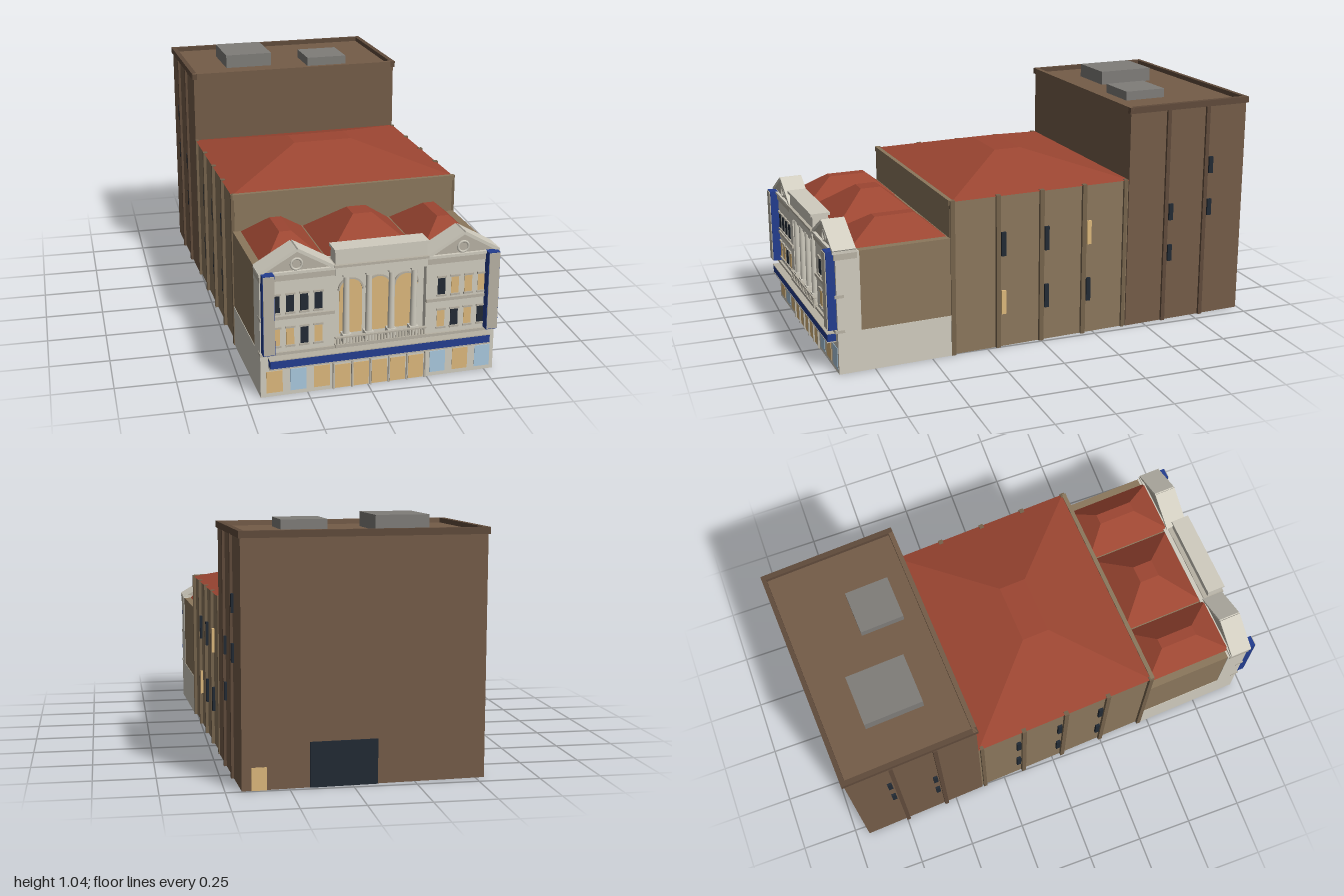
import * as THREE from 'three';

const mat = (color) => new THREE.MeshStandardMaterial({ color });
const M = {
  cream: mat(0xd0ccbf), trim: mat(0xb8b2a4), tan: mat(0x8b775c), tanDark: mat(0x75634c),
  brown: mat(0x745c48), brownDark: mat(0x604b3b), roof: mat(0x9c4632), grey: mat(0x7f7d79),
  blue: mat(0x233d8f), lit: mat(0xdcb87c), sky: mat(0xa9c8de), dark: mat(0x222a34),
};

export function createModel() {
  const root = new THREE.Group();
  root.name = 'theatre';

  const add = (name, geo, m) => {
    const mesh = new THREE.Mesh(geo, m);
    mesh.name = name;
    root.add(mesh);
    return mesh;
  };
  // Box given by its extents along x, y and z
  const box = (name, m, x0, x1, y0, y1, z0, z1) => {
    const mesh = add(name, new THREE.BoxGeometry(x1 - x0, y1 - y0, z1 - z0), m);
    mesh.position.set((x0 + x1) / 2, (y0 + y1) / 2, (z0 + z1) / 2);
    return mesh;
  };
  // Hipped roof: a box whose top is drawn in to a smaller rectangle
  const hip = (name, [x0, x1, z0, z1], [a0, a1, b0, b1], y0, y1) => {
    const geo = new THREE.BoxGeometry(1, 1, 1);
    const p = geo.attributes.position;
    for (let i = 0; i < p.count; i++) {
      const top = p.getY(i) > 0, right = p.getX(i) > 0, front = p.getZ(i) > 0;
      p.setXYZ(i,
        top ? (right ? a1 : a0) : (right ? x1 : x0),
        top ? y1 : y0,
        top ? (front ? b1 : b0) : (front ? z1 : z0));
    }
    geo.computeVertexNormals();
    return add(name, geo, M.roof);
  };

  // Stage house with recessed roof, rim and roof plant
  box('stageHouse', M.brown, -0.487, 0.487, 0, 0.975, -0.968, -0.39);
  for (const s of [-1, 1]) {
    box('stageParapetSide', M.brownDark, s * 0.483 - 0.011, s * 0.483 + 0.011, 0.968, 0.995, -0.976, -0.383);
  }
  box('stageParapetBack', M.brownDark, -0.494, 0.494, 0.968, 0.995, -0.976, -0.956);
  box('stageParapetFront', M.brown, -0.494, 0.494, 0.968, 0.995, -0.403, -0.383);
  box('roofPlantLarge', M.grey, -0.3, -0.08, 0.97, 1.036, -0.8, -0.545);
  box('roofPlantSmall', M.grey, 0.085, 0.275, 0.97, 1.015, -0.672, -0.482);
  box('loadingDoor', M.dark, -0.05, 0.22, 0, 0.18, -0.973, -0.965);
  box('stageDoor', M.lit, 0.39, 0.45, 0, 0.09, -0.973, -0.965);

  // Auditorium
  box('auditorium', M.tan, -0.48, 0.48, 0, 0.675, -0.39, 0.442);
  box('auditoriumParapet', M.tan, -0.486, 0.486, 0.66, 0.682, 0.428, 0.446);
  hip('auditoriumRoof', [-0.488, 0.488, -0.39, 0.432], [-0.13, 0.13, -0.03, 0.09], 0.675, 0.775);

  // Side pilasters and windows
  const audWindows = [[0.2, M.dark, M.lit], [0, M.dark, M.dark], [-0.2, M.lit, M.dark]];
  const stageWindows = [[-0.6, 0.47, 0.28], [-0.795, 0.665, 0.47]];
  for (const s of [-1, 1]) {
    const slab = (name, m, x, out, y0, y1, z, w) =>
      box(name, m, s * x - out, s * x + out, y0, y1, z - w / 2, z + w / 2);
    for (const z of [0.43, 0.225, 0.025, -0.175]) slab('auditoriumPilaster', M.tanDark, 0.483, 0.01, 0, 0.68, z, 0.02);
    for (const z of [-0.373]) slab('auditoriumPilaster', M.tanDark, 0.483, 0.008, 0, 0.68, z, 0.016);
    for (const z of [-0.575, -0.77]) slab('stagePilaster', M.brownDark, 0.489, 0.009, 0, 0.97, z, 0.018);
    for (const [z, up, low] of audWindows) {
      slab('auditoriumWindow', s > 0 ? up : M.dark, 0.483, 0.008, 0.41, 0.515, z, 0.02);
      slab('auditoriumWindow', s > 0 ? low : M.dark, 0.483, 0.008, 0.15, 0.255, z, 0.02);
    }
    for (const [z, ...ys] of stageWindows) {
      for (const y of ys) slab('stageWindow', M.dark, 0.489, 0.008, y, y + 0.075, z, 0.02);
    }
  }

  // Front house: pale base, brick sides, pale facade return
  box('frontBase', M.cream, -0.49, 0.49, 0, 0.18, 0.44, 0.93);
  box('frontHouse', M.tan, -0.488, 0.488, 0.18, 0.52, 0.44, 0.832);
  box('facadeCentre', M.cream, -0.2, 0.2, 0.18, 0.53, 0.83, 0.9);
  hip('centreRoof', [-0.19, 0.19, 0.45, 0.84], [-0.04, 0.04, 0.59, 0.68], 0.52, 0.64);

  // Side wings, mirrored
  const patterns = {
    '-1': [[M.dark, M.dark, M.dark, M.dark], [M.lit, M.dark, M.lit, M.lit]],
    '1': [[M.dark, M.lit, M.lit, M.lit], [M.lit, M.dark, M.lit, M.dark]],
  };
  for (const s of [-1, 1]) {
    const mbox = (name, m, a, b, ...rest) => box(name, m, Math.min(s * a, s * b), Math.max(s * a, s * b), ...rest);
    mbox('wing', M.cream, 0.19, 0.49, 0.18, 0.52, 0.83, 0.93);
    const r = [s * 0.325 - 0.13, s * 0.325 + 0.13, 0.445, 0.858];
    hip('wingRoof', r, [s * 0.333 - 0.024, s * 0.333 + 0.024, 0.55, 0.72], 0.52, 0.61);

    // Cornice and string courses
    mbox('wingCornice', M.trim, 0.19, 0.492, 0.492, 0.518, 0.84, 0.937);
    mbox('wingCorniceCap', M.cream, 0.188, 0.494, 0.518, 0.529, 0.84, 0.943);
    mbox('stringCourse', M.trim, 0.19, 0.491, 0.33, 0.343, 0.9, 0.938);

    // Pediment with raking cornices and a ring
    const tri = new THREE.Shape([[-0.148, 0], [0.148, 0], [0, 0.086]].map((q) => new THREE.Vector2(...q)));
    const gable = add('pediment', new THREE.ExtrudeGeometry(tri, { depth: 0.08, bevelEnabled: false }), M.trim);
    gable.position.set(s * 0.342, 0.527, 0.85);
    for (const k of [-1, 1]) {
      const rake = add('rakingCornice', new THREE.BoxGeometry(0.173, 0.013, 0.098), M.cream);
      rake.position.set(s * 0.342 + k * 0.075, 0.572, 0.893);
      rake.rotation.z = -k * Math.atan2(0.086, 0.148);
    }
    const ring = add('pedimentRing', new THREE.TorusGeometry(0.022, 0.005, 6, 24), M.cream);
    ring.position.set(s * 0.342, 0.554, 0.931);

    // Two rows of windows with sills and lintels
    patterns[s].forEach((row, j) => row.forEach((m, i) => {
      const x = s * (0.255 + i * 0.057), y = j ? 0.218 : 0.358;
      box('wingWindow', m, x - 0.016, x + 0.016, y, y + 0.072, 0.925, 0.932);
      box('windowSill', M.trim, x - 0.02, x + 0.02, y - 0.008, y, 0.925, 0.937);
      box('windowLintel', M.trim, x - 0.02, x + 0.02, y + 0.072, y + 0.08, 0.925, 0.937);
    }));

    // Vertical blade sign
    mbox('bladeSign', M.blue, 0.438, 0.486, 0.196, 0.53, 0.932, 0.968);
    mbox('bladeSignFace', M.trim, 0.44, 0.484, 0.2, 0.527, 0.965, 0.972);
  }

  // Arched windows in the centre bay
  const arch = new THREE.Shape();
  arch.moveTo(-0.047, 0).lineTo(0.047, 0).lineTo(0.047, 0.185);
  arch.absarc(0, 0.185, 0.047, 0, Math.PI, false);
  const rim = new THREE.Shape();
  rim.absarc(0, 0.185, 0.053, 0, Math.PI, false);
  rim.absarc(0, 0.185, 0.046, Math.PI, 0, true);
  for (const x of [-0.115, 0, 0.115]) {
    const ext = (name, shape, depth, m) => add(name, new THREE.ExtrudeGeometry(shape, { depth, bevelEnabled: false, curveSegments: 12 }), m)
      .position.set(x, 0.225, 0.897);
    ext('archedWindow', arch, 0.006, M.lit);
    ext('archMoulding', rim, 0.011, M.trim);
  }

  // Columns
  for (const x of [-0.14, -0.047, 0.047, 0.14]) {
    const shaft = add('column', new THREE.CylinderGeometry(0.0115, 0.0145, 0.25, 16), M.cream);
    shaft.position.set(x, 0.358, 0.925);
    box('columnBase', M.cream, x - 0.018, x + 0.018, 0.2, 0.236, 0.907, 0.943);
    box('columnCapital', M.cream, x - 0.017, x + 0.017, 0.48, 0.492, 0.908, 0.942);
  }

  // Entablature and attic parapet
  box('entablature', M.cream, -0.19, 0.19, 0.49, 0.528, 0.85, 0.943);
  box('entablatureCap', M.trim, -0.193, 0.193, 0.526, 0.536, 0.85, 0.95);
  box('atticParapet', M.cream, -0.188, 0.188, 0.535, 0.59, 0.87, 0.937);
  box('atticCap', M.cream, -0.193, 0.193, 0.588, 0.6, 0.862, 0.945);

  // Balcony balustrade
  box('balconyFloor', M.trim, -0.19, 0.19, 0.185, 0.198, 0.89, 0.948);
  box('balconyRail', M.trim, -0.19, 0.19, 0.224, 0.23, 0.935, 0.948);
  for (let i = 0; i < 29; i++) {
    const x = -0.182 + i * 0.013;
    box('baluster', M.trim, x - 0.003, x + 0.003, 0.197, 0.225, 0.939, 0.945);
  }

  // Fascia band and blue canopy sign
  box('groundCornice', M.trim, -0.492, 0.492, 0.18, 0.192, 0.9, 0.94);
  box('canopySign', M.blue, -0.458, 0.458, 0.135, 0.172, 0.925, 0.966);
  box('canopyTopEdge', M.trim, -0.46, 0.46, 0.17, 0.174, 0.928, 0.968);
  box('canopyBottomEdge', M.trim, -0.46, 0.46, 0.133, 0.137, 0.928, 0.968);

  // Shopfronts and central doors
  const shops = [[-0.434, M.lit], [-0.337, M.sky], [-0.24, M.lit], [0.247, M.sky], [0.344, M.lit], [0.441, M.sky]];
  for (const [x, m] of shops) box('shopWindow', m, x - 0.033, x + 0.033, 0.017, 0.11, 0.925, 0.932);
  for (let i = -2; i <= 2; i++) {
    box('entranceDoor', M.lit, i * 0.077 - 0.032, i * 0.077 + 0.032, 0.002, 0.104, 0.925, 0.932);
  }
  for (let i = 0; i < 6; i++) {
    const x = (i - 2.5) * 0.077;
    box('doorPost', M.trim, x - 0.003, x + 0.003, 0, 0.115, 0.925, 0.938);
  }

  // The whole building stands slightly turned on its plot
  root.rotation.y = 0.052;
  const model = new THREE.Group();
  model.name = 'theatreModel';
  model.add(root);
  return model;
}
